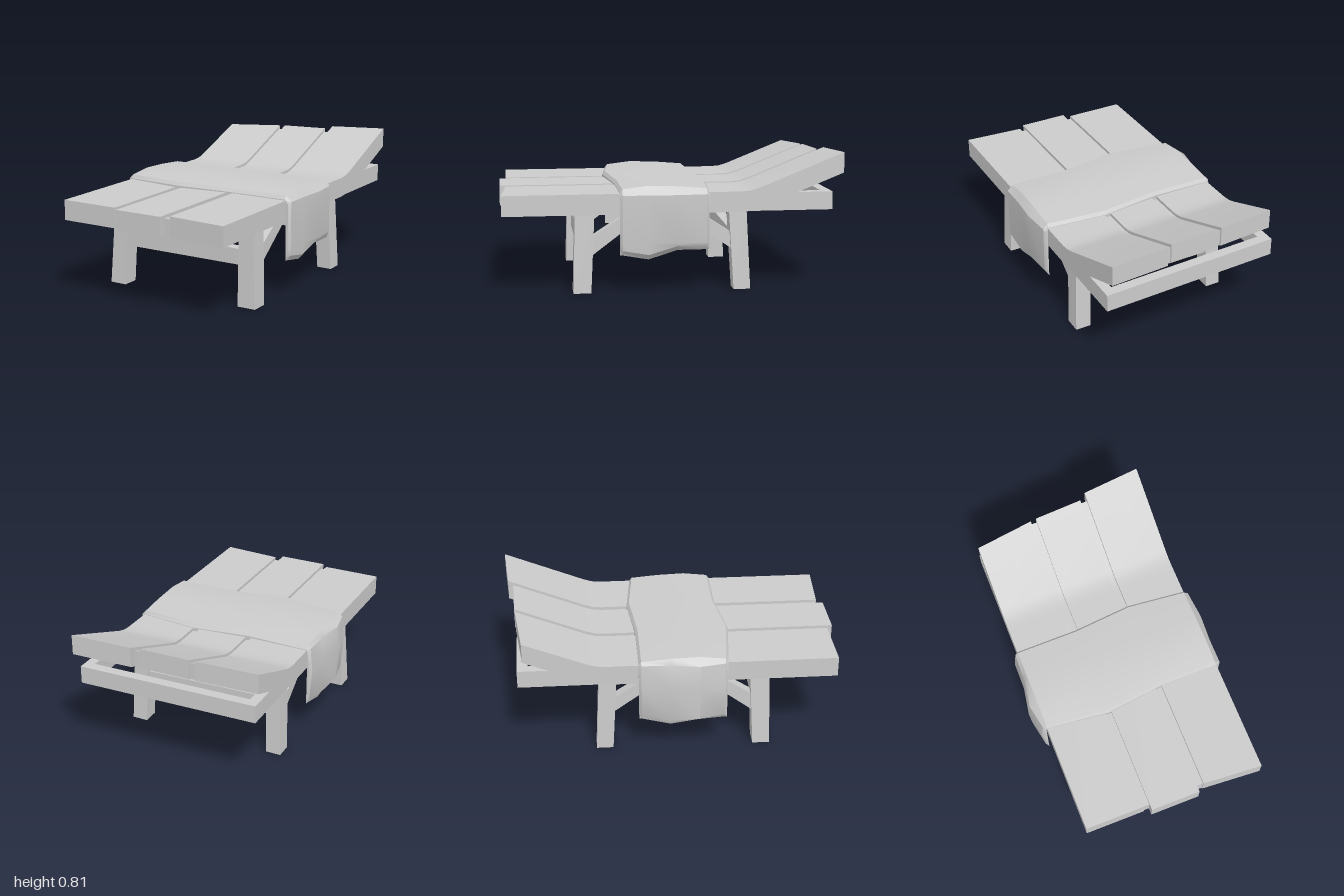
import * as THREE from 'three';
import { toCreasedNormals } from 'three/addons/utils/BufferGeometryUtils.js';

// Skin a list of equal rings of [x, y, z]; rings run clockwise seen from the first one
function loft(rings) {
  const n = rings[0].length, pos = [];
  const quad = (a, b, c, d) => pos.push(...a, ...b, ...c, ...a, ...c, ...d);
  for (let s = 0; s < rings.length - 1; s++) {
    const a = rings[s], b = rings[s + 1];
    for (let i = 0; i < n; i++) {
      const j = (i + 1) % n;
      quad(a[i], a[j], b[j], b[i]);
    }
  }
  // End caps: join the first half of the ring to the second half
  const first = rings[0], last = rings[rings.length - 1];
  for (let i = 0; i < n / 2 - 1; i++) {
    const k = n - 1 - i;
    quad(first[i], first[k], first[k - 1], first[i + 1]);
    quad(last[i], last[i + 1], last[k - 1], last[k]);
  }
  const geo = new THREE.BufferGeometry();
  geo.setAttribute('position', new THREE.Float32BufferAttribute(pos, 3));
  return toCreasedNormals(geo, 0.5);
}

export function createModel() {
  const group = new THREE.Group();
  const material = new THREE.MeshStandardMaterial({ color: 0xcccccc });
  const add = (name, geo) => {
    const mesh = new THREE.Mesh(geo, material);
    mesh.name = name;
    group.add(mesh);
    return mesh;
  };

  // Bed boards: flat, then rising into the backrest
  const rise = z => (z > -0.4 ? 0 : z > -0.5 ? 2 * (z + 0.4) ** 2 : (-z - 0.45) * 0.4);
  const board = (name, x0, x1, front, back, top, bottom) => {
    const stations = [front, [-0.36, -0.36], [-0.4, -0.4], [-0.45, -0.45], [-0.5, -0.5], back];
    add(name, loft(stations.map(([z0, z1]) => [
      [x0, top + rise(z0), z0], [x1, top + rise(z1), z1],
      [x1, bottom + rise(z1), z1], [x0, bottom + rise(z0), z0],
    ])));
  };
  board('rightPlank', -0.535, -0.175, [0.965, 0.965], [-0.87, -0.915], 0.59, 0.47);
  board('middlePlank', -0.14, 0.16, [1, 1], [-0.92, -0.935], 0.59, 0.47);
  board('leftPlank', 0.2, 0.56, [0.965, 0.99], [-0.967, -1], 0.59, 0.47);
  // Recessed strips filling the gaps
  board('rightGapStrip', -0.18, -0.135, [0.96, 0.96], [-0.905, -0.905], 0.572, 0.472);
  board('leftGapStrip', 0.155, 0.205, [0.96, 0.96], [-0.925, -0.925], 0.572, 0.472);

  // Rear frame beneath the backrest
  const bar = (name, x0, x1, y0, y1, z0, z1, slantY = 0, slantZ = 0) =>
    add(name, loft([[z1, z1 + slantZ], [z0, z0 + slantZ]].map(([a, b]) => [
      [x0, y1, a], [x1, y1 + slantY, b], [x1, y0, b], [x0, y0, a],
    ])));
  bar('rightFrameRail', -0.535, -0.475, 0.474, 0.58, -0.9, -0.4);
  bar('leftFrameRail', 0.5, 0.558, 0.474, 0.58, -0.93, -0.4);
  bar('rearFrameBar', -0.535, 0.558, 0.474, 0.58, -0.905, -0.845, 0, -0.03);

  // Splayed legs: [inner x, outer x, inner z, outer z] at top and at foot
  const leg = (name, top, foot, sx, sz) => {
    const ring = ([xi, xo, zi, zo], y) => {
      const [x0, x1] = [sx * xi, sx * xo].sort((a, b) => a - b);
      const [z0, z1] = [sz * zi, sz * zo].sort((a, b) => a - b);
      return [[x0, y, z0], [x1, y, z0], [x1, y, z1], [x0, y, z1]];
    };
    add(name, loft([ring(top, 0.5), ring(foot, 0)]));
  };
  leg('frontLeftLeg', [0.4, 0.495, 0.455, 0.57], [0.4, 0.515, 0.48, 0.583], 1, 1);
  leg('frontRightLeg', [0.38, 0.47, 0.455, 0.57], [0.398, 0.505, 0.48, 0.583], -1, 1);
  leg('rearLeftLeg', [0.4, 0.495, 0.33, 0.435], [0.42, 0.515, 0.36, 0.46], 1, -1);
  leg('rearRightLeg', [0.38, 0.47, 0.33, 0.435], [0.398, 0.49, 0.36, 0.46], -1, -1);

  // Stretchers between each pair of legs
  bar('frontStretcher', -0.42, 0.44, 0.24, 0.352, 0.485, 0.55, -0.02);
  bar('rearStretcher', -0.42, 0.44, 0.24, 0.352, -0.425, -0.36, -0.02);

  // Diagonal braces from the legs up to the bed
  for (const [side, x0, x1] of [['Right', -0.465, -0.4], ['Left', 0.415, 0.48]]) {
    const end = (zt, yt, zb, yb) => [[x0, yt, zt], [x1, yt, zt], [x1, yb, zb], [x0, yb, zb]];
    add('front' + side + 'Brace', loft([end(0.48, 0.32, 0.48, 0.21), end(0.22, 0.49, 0.11, 0.49)]));
    add('rear' + side + 'Brace', loft([end(-0.11, 0.49, 0.0, 0.49), end(-0.37, 0.32, -0.37, 0.225)].map(
      (r, i) => (i ? r : end(-0.11, 0.49, 0.0, 0.49)))));
  }

  // Blanket draped over the middle; each station is one cross-section
  const stations = [
    { z: 0.3, xl: -0.572, xr: 0.588, h: 0.615, yl: 0.215, yr: 0.23, peak: 0.045, dip: 0 },
    { z: 0.15, xl: -0.6, xr: 0.588, h: 0.633, yl: 0.205, yr: 0.203, peak: 0, dip: 0 },
    { z: -0.02, xl: -0.57, xr: 0.598, h: 0.627, yl: 0.18, yr: 0.255, peak: 0, dip: 0 },
    { z: -0.19, xl: -0.568, xr: 0.583, h: 0.613, yl: 0.225, yr: 0.255, peak: 0, dip: -0.035 },
  ];
  const section = ({ z, xl, xr, h, yl, yr, peak, dip }, rim = 0) => {
    const inset = rim ? 0.013 : 0, top = h - (rim ? 0.02 : 0), ze = z + rim;
    const l = xl + inset, r = xr - inset;
    const outer = [
      [l + 0.015, yl + 0.035, ze], [l, 0.45, ze], [l + 0.015, 0.595 - inset, ze],
      [-0.535, top, ze], [-0.16, top + 0.007, ze + peak], [0.2, top, ze + dip], [0.555, top, ze],
      [r, 0.582 - inset, ze], [r, 0.3, ze], [r - 0.005, yr + 0.03, ze],
    ];
    const inner = outer.map(([x, y, zz]) =>
      [Math.min(0.561, Math.max(-0.54, x)), Math.min(y - 0.03, 0.585), zz]);
    return [...outer, ...inner.reverse()];
  };
  add('blanket', loft([
    section(stations[0], 0.015), ...stations.map(s => section(s)), section(stations[3], -0.015),
  ]));

  return group;
}
